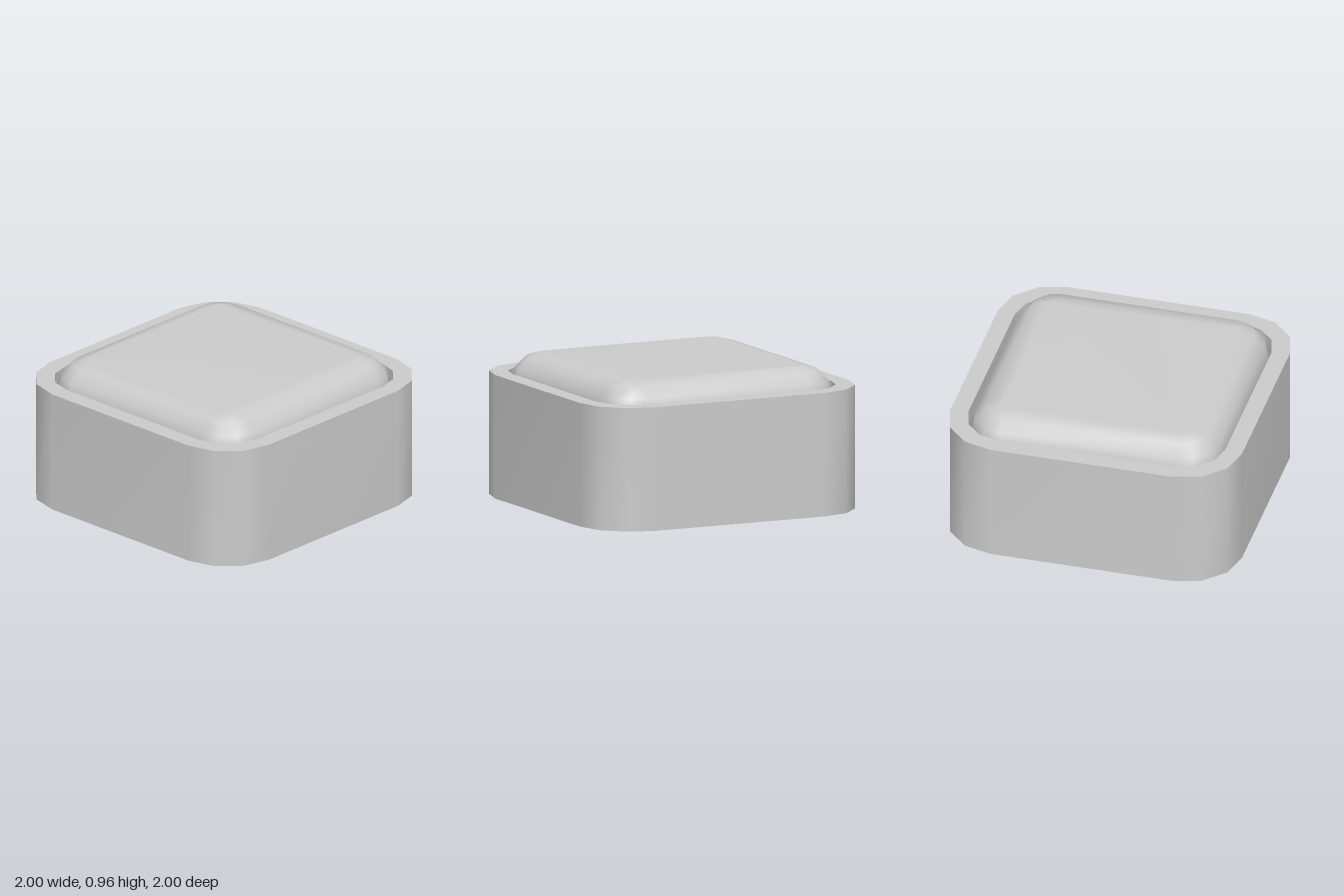
import * as THREE from 'three';

const CORNER_STEPS = 3;

// Rounded-square loop: straight part reaches +-c, corner radius r, height y
function ring([c, r, y]) {
  const pts = [];
  for (let q = 0; q < 4; q++) {
    const mid = (q + 0.5) * Math.PI / 2;
    const cx = c * Math.sign(Math.cos(mid)), cz = c * Math.sign(Math.sin(mid));
    for (let i = 0; i <= CORNER_STEPS; i++) {
      const a = (q + i / CORNER_STEPS) * Math.PI / 2;
      pts.push(cx + r * Math.cos(a), y, cz + r * Math.sin(a));
    }
  }
  return pts;
}

// Skin through successive loops, smooth-shaded, optionally closed at the top
function skin(name, loops, capped = false) {
  const n = 4 * (CORNER_STEPS + 1);
  const index = [];
  for (let k = 0; k < loops.length - 1; k++) {
    for (let i = 0; i < n; i++) {
      const a = k * n + i, b = k * n + (i + 1) % n;
      index.push(a, a + n, b, b, a + n, b + n);
    }
  }
  if (capped) {
    const s = (loops.length - 1) * n;
    for (let i = 1; i < n - 1; i++) index.push(s, s + i + 1, s + i);
  }
  const geo = new THREE.BufferGeometry();
  geo.setAttribute('position', new THREE.Float32BufferAttribute(loops.flatMap(ring), 3));
  geo.setIndex(index);
  geo.computeVertexNormals();
  const mesh = new THREE.Mesh(geo, new THREE.MeshStandardMaterial({ color: 0xcccccc, side: THREE.DoubleSide }));
  mesh.name = name;
  return mesh;
}

export function createModel() {
  const model = new THREE.Group();
  model.name = 'pushButton';

  // Housing: separate skins keep the rim edges sharp
  const outerFoot = [0.62, 0.38, 0], outerTop = [0.62, 0.38, 0.83];
  const innerTop = [0.6, 0.28, 0.83], innerFoot = [0.6, 0.28, 0.33];
  const capFoot = [0.6, 0.26, 0.33];
  const housing = new THREE.Group();
  housing.name = 'housing';
  housing.add(
    skin('outerWall', [outerFoot, outerTop]),
    skin('rim', [outerTop, innerTop]),
    skin('innerWall', [innerTop, innerFoot]),
    skin('grooveFloor', [innerFoot, capFoot]),
  );

  // Hollow button cap with a rounded top edge
  const bevel = 0.2, loops = [capFoot];
  for (let i = 0; i <= 3; i++) {
    const a = i * Math.PI / 6;
    loops.push([0.6, 0.06 + bevel * Math.cos(a), 0.76 + bevel * Math.sin(a)]);
  }
  model.add(housing, skin('buttonCap', loops, true));
  return model;
}
